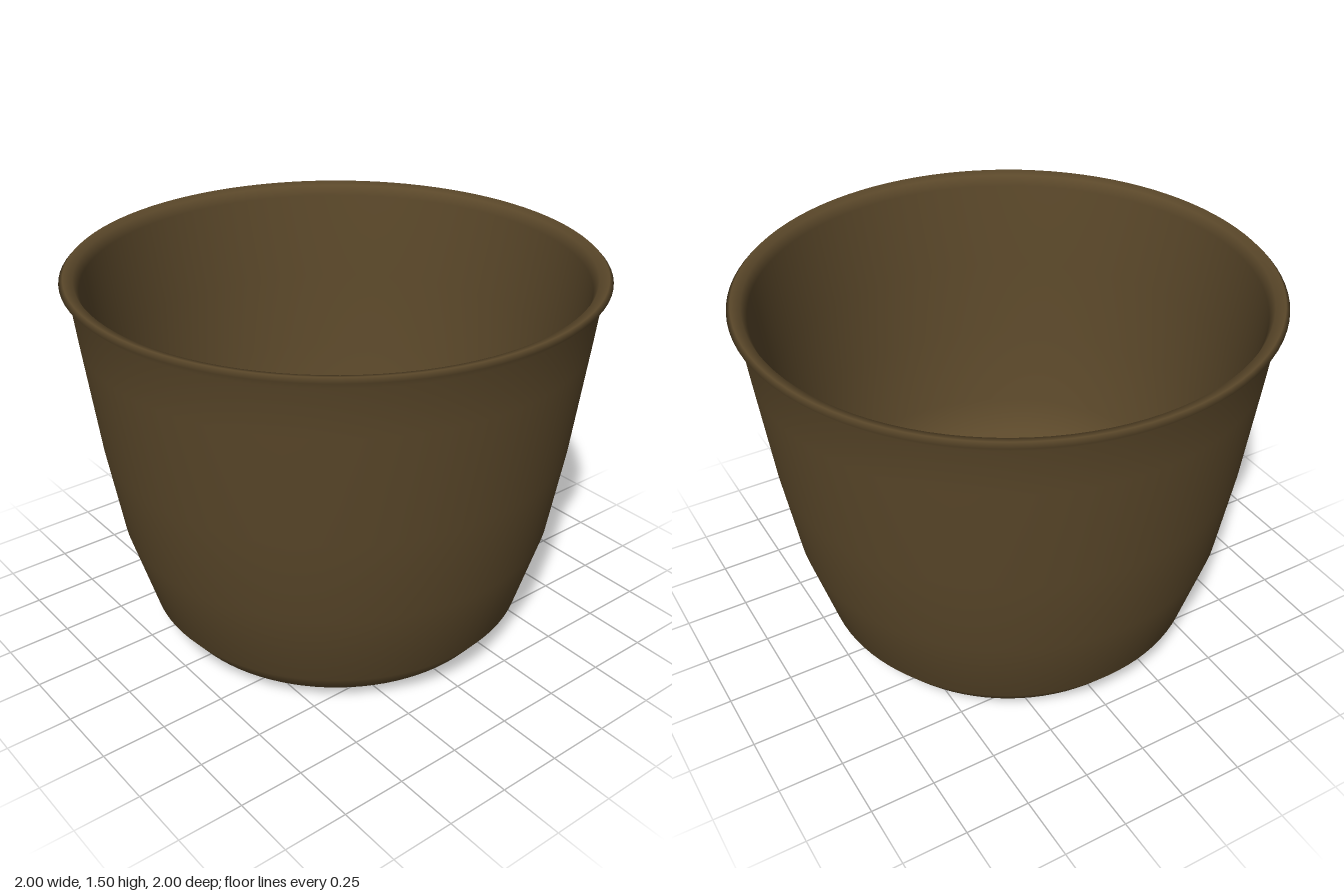
import * as THREE from 'three';

const SEGMENTS = 96;

// Smooth surface of revolution from [radius, height] pairs
function turned(name, profile, material) {
  const points = profile.map(([r, y]) => new THREE.Vector2(r, y));
  const mesh = new THREE.Mesh(new THREE.LatheGeometry(points, SEGMENTS), material);
  mesh.name = name;
  return mesh;
}

export function createModel() {
  const glaze = new THREE.MeshStandardMaterial({ color: 0x5b482a });
  glaze.name = 'olive brown glaze';
  const clay = new THREE.MeshStandardMaterial({ color: 0xa27a62 });
  clay.name = 'bare reddish clay';

  const bowl = new THREE.Group();
  bowl.name = 'bowl';

  // Hollowed underside and standing ring
  bowl.add(turned('foot', [
    [0, 0.1], [0.2, 0.09], [0.36, 0.06], [0.45, 0.025],
    [0.49, 0.006], [0.52, 0], [0.56, 0.003], [0.62, 0.02],
  ], clay));

  // Glazed body in one continuous skin
  bowl.add(turned('body', [
    // outer wall
    [0.62, 0.02], [0.68, 0.07], [0.75, 0.16], [0.845, 0.49],
    [0.9, 0.84], [0.95, 1.27], [0.97, 1.455],
    // flared lip
    [1, 1.485], [0.985, 1.5], [0.95, 1.49], [0.932, 1.45],
    // inner wall and floor
    [0.9, 1.1], [0.86, 0.78], [0.81, 0.45], [0.75, 0.3],
    [0.62, 0.235], [0.45, 0.2], [0.2, 0.185], [0, 0.185],
  ], glaze));

  return bowl;
}
